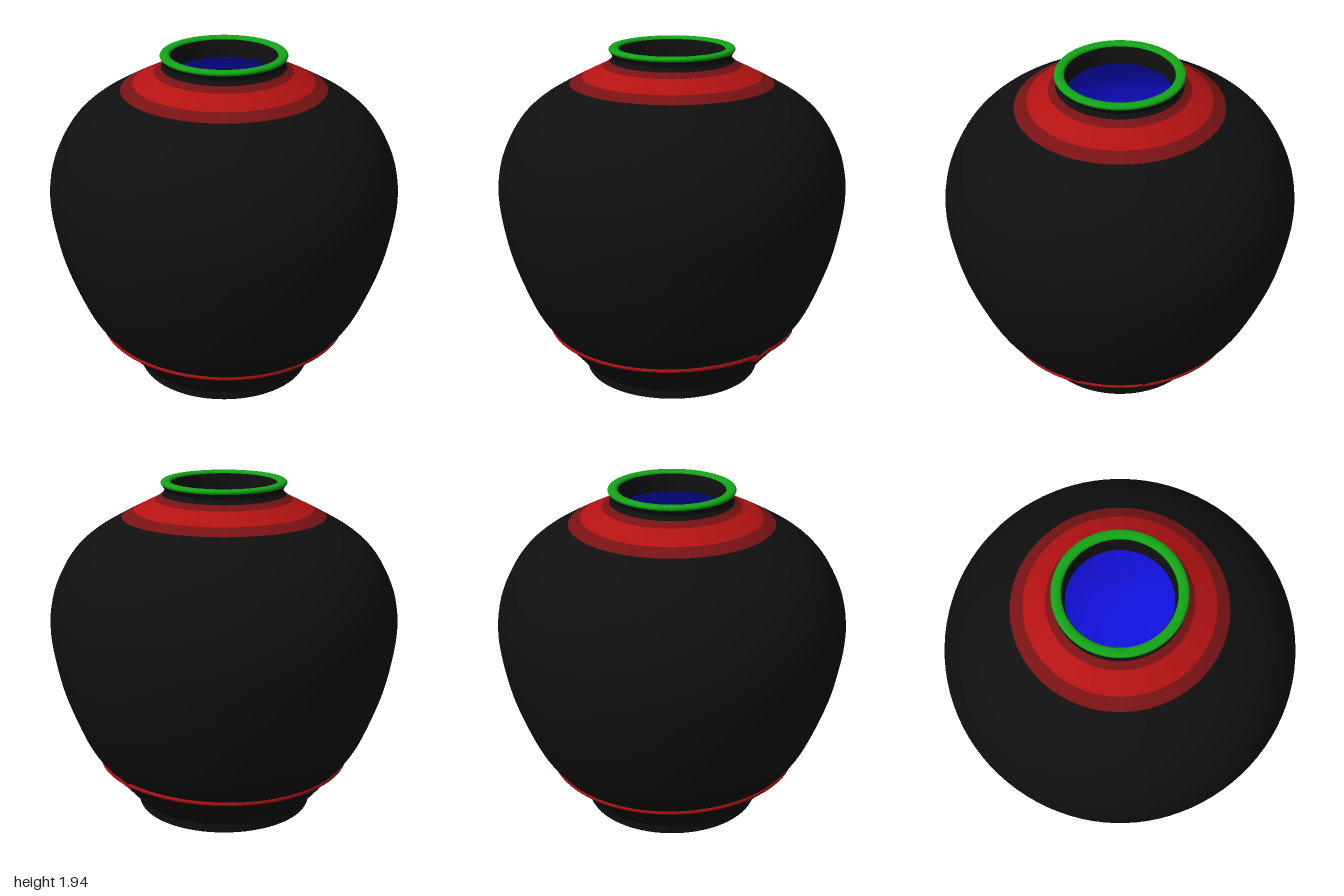
import * as THREE from 'three';

const SEG = 96;
const mat = (name, color) => Object.assign(new THREE.MeshStandardMaterial({ color }), { name });
const v2 = ([x, y]) => new THREE.Vector2(x, y);

export function createModel() {
  const black = mat('black glaze', 0x101010);
  const red = mat('red', 0xb41212);
  const darkRed = mat('dark red', 0x781214);
  const green = mat('green', 0x12a416);
  const blue = mat('blue lining', 0x1010d8);

  const pot = new THREE.Group();
  pot.name = 'pot';

  const add = (name, geometry, material) => {
    const mesh = new THREE.Mesh(geometry, material);
    mesh.name = name;
    pot.add(mesh);
  };
  const lathe = (name, points, material) =>
    add(name, new THREE.LatheGeometry(points, SEG), material);
  const spline = (points, n) => new THREE.SplineCurve(points.map(v2)).getPoints(n);

  // Foot ring and recessed underside; doubled points keep the edges sharp
  lathe('foot', [
    [0, 0.035], [0.44, 0.03], [0.46, 0.005], [0.47, 0], [0.47, 0], [0.505, 0], [0.505, 0],
    [0.51, 0.01], [0.51, 0.05], [0.515, 0.06], [0.53, 0.065],
  ].map(v2), black);

  // Outer wall from foot to neck, cut at given heights into coloured bands
  const wall = spline([
    [0.53, 0.065], [0.58, 0.125], [0.65, 0.205], [0.73, 0.3], [0.82, 0.44], [0.92, 0.69],
    [0.97, 0.88], [1, 1.1], [0.98, 1.28], [0.92, 1.43], [0.84, 1.55], [0.73, 1.645],
    [0.58, 1.733], [0.47, 1.79], [0.39, 1.83], [0.35, 1.857],
  ], 150);
  const bands = [
    ['body', 1.733, black],
    ['lowerShoulderBand', 1.765, darkRed],
    ['shoulderBand', 1.83, red],
    ['upperShoulderBand', 9, darkRed],
  ];
  let start = 0;
  for (const [name, top, material] of bands) {
    let end = wall.findIndex((p) => p.y >= top);
    if (end < 0) end = wall.length - 1;
    lathe(name, wall.slice(start, end + 1), material);
    start = end;
  }

  // Neck, rolled rim and mouth
  lathe('neck', spline([[0.35, 1.857], [0.337, 1.875], [0.337, 1.89], [0.35, 1.912]], 10), black);
  lathe('rim', spline([
    [0.35, 1.912], [0.356, 1.923], [0.348, 1.935], [0.325, 1.938], [0.306, 1.933], [0.3, 1.922],
  ], 16), green);
  lathe('mouth', spline([[0.3, 1.922], [0.292, 1.89], [0.287, 1.82]], 8), black);

  // Inside of the pot
  lathe('lining', spline([
    [0.287, 1.82], [0.38, 1.77], [0.56, 1.68], [0.7, 1.595], [0.8, 1.51], [0.88, 1.4],
    [0.935, 1.27], [0.95, 1.1], [0.92, 0.88], [0.87, 0.69], [0.77, 0.45], [0.66, 0.3],
    [0.5, 0.18], [0.27, 0.11], [0, 0.07],
  ], 80), blue);

  // Uneven glaze line around the base, with two runs
  const run = (a, at, width, depth) => depth * Math.max(0, 1 - Math.abs(a - at) / width);
  const line = [];
  for (let i = 0; i < 300; i++) {
    const a = (i / 300) * Math.PI * 2 - Math.PI;
    const y = 0.285 - 0.011 * Math.sin(2 * a - 0.3)
      - run(a, -0.35, 0.06, 0.062) - run(a, -0.91, 0.05, 0.036);
    const r = 0.713 + 0.88 * (y - 0.285);
    line.push(new THREE.Vector3(Math.cos(a) * r, y, Math.sin(a) * r));
  }
  const path = new THREE.CatmullRomCurve3(line, true);
  path.arcLengthDivisions = 900;
  add('glazeLine', new THREE.TubeGeometry(path, 450, 0.017, 8, true), red);

  return pot;
}
